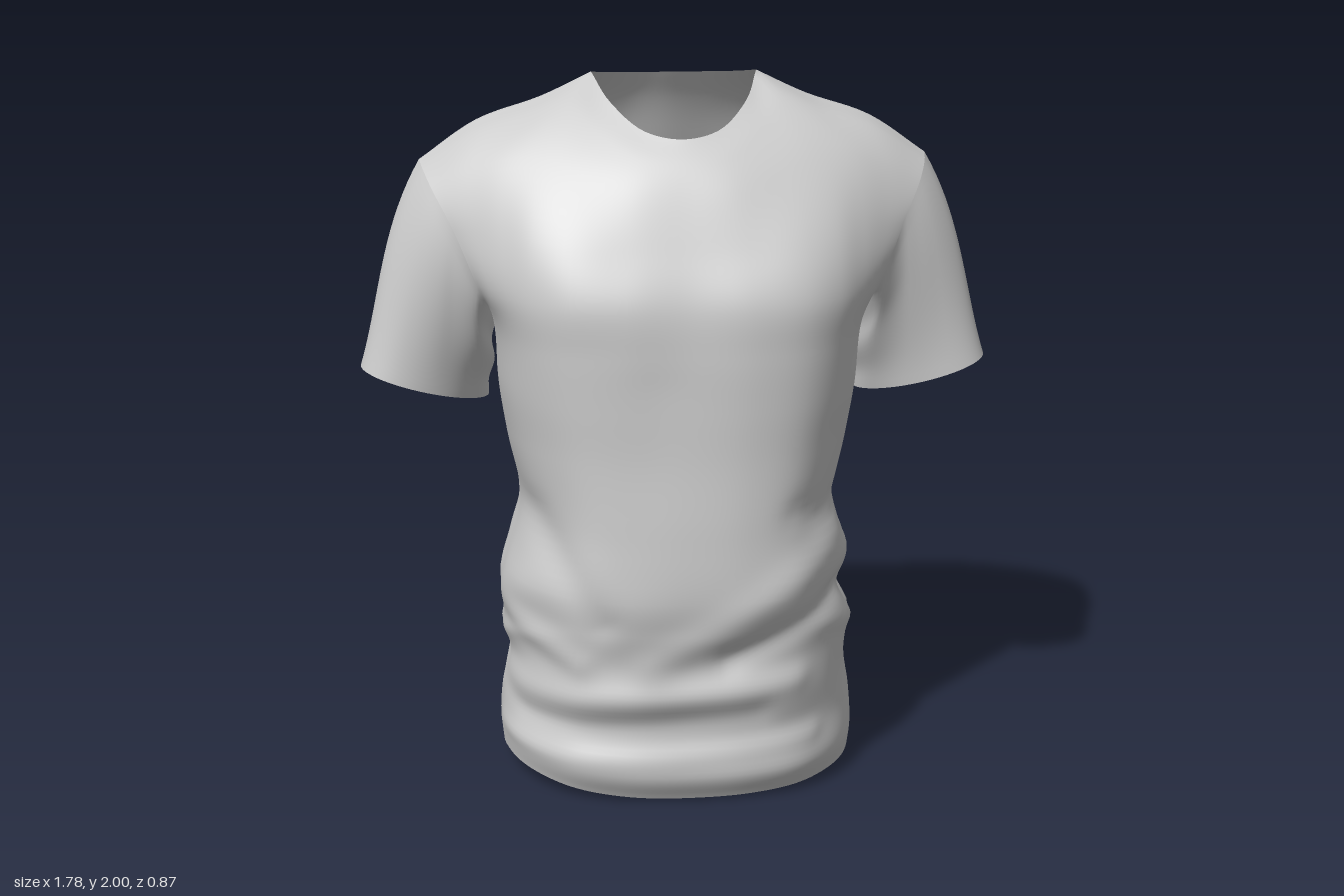
import * as THREE from 'three';
import { mergeVertices } from 'three/addons/utils/BufferGeometryUtils.js';

const V = (x, y, z) => new THREE.Vector3(x, y, z);
const COLS = 72, STEPS = 7; // samples across a panel, and between two control rows

// Outlines at armpit and waist: x, z from the centre line to the side
const front = {
  chest: [[0, .405], [.18, .405], [.33, .37], [.42, .305], [.48, .205], [.51, .08], [.51, -.08]],
  waist: [[0, .405], [.17, .395], [.31, .35], [.402, .27], [.467, .168], [.503, .04], [.51, -.08]],
};
const back = {
  chest: [[0, -.42], [.18, -.43], [.33, -.432], [.42, -.385], [.48, -.295], [.51, -.19], [.51, -.08]],
  waist: [[0, -.435], [.16, -.425], [.3, -.385], [.387, -.318], [.454, -.235], [.5, -.155], [.51, -.08]],
};

// Lower body: height, half width, front z, back z
const lower = [
  [0, .512, .35, -.375], [.08, .517, .388, -.36], [.2, .51, .37, -.335], [.32, .493, .4, -.335],
  [.42, .5, .39, -.312], [.52, .495, .415, -.355], [.62, .492, .435, -.39], [.8, .45, .43, -.415],
  [1, .485, .415, -.43], [1.15, .505, .41, -.435], [1.3, .51, .405, -.435],
];

// Upper rows from armpit to neck and shoulder line, centre to armhole
const shoulder = [[.23, 2, -.1], [.37, 1.935, -.1], [.55, 1.872, -.1], [.71, 1.765, -.09]];
front.upper = [
  [[0, 1.44, .39], [.17, 1.44, .395], [.32, 1.44, .37], [.415, 1.44, .316], [.48, 1.44, .25], [.525, 1.435, .188], [.55, 1.43, .135]],
  [[0, 1.58, .335], [.16, 1.58, .335], [.31, 1.59, .315], [.41, 1.6, .27], [.49, 1.6, .208], [.56, 1.6, .148], [.62, 1.6, .1]],
  [[0, 1.72, .27], [.14, 1.73, .26], [.28, 1.77, .2], [.38, 1.8, .14], [.48, 1.79, .1], [.58, 1.75, .065], [.675, 1.7, .03]],
  [[0, 1.79, .225], [.12, 1.805, .205], [.225, 1.86, .125], [.3, 1.925, .02], [.42, 1.89, 0], [.565, 1.838, -.02], [.7, 1.747, -.035]],
  [[0, 1.85, .17], [.1, 1.868, .14], [.185, 1.933, .04], ...shoulder],
];
back.upper = [
  [[0, 1.46, -.415], [.18, 1.46, -.426], [.33, 1.46, -.436], [.43, 1.46, -.418], [.508, 1.455, -.386], [.558, 1.45, -.343], [.575, 1.44, -.28]],
  [[0, 1.62, -.4], [.17, 1.62, -.412], [.32, 1.62, -.415], [.43, 1.62, -.4], [.525, 1.615, -.375], [.605, 1.61, -.345], [.66, 1.6, -.305]],
  [[0, 1.8, -.33], [.15, 1.8, -.345], [.29, 1.8, -.34], [.4, 1.79, -.32], [.5, 1.77, -.295], [.6, 1.74, -.265], [.695, 1.7, -.22]],
  [[0, 1.9, -.282], [.12, 1.9, -.29], [.23, 1.905, -.275], [.31, 1.925, -.21], [.43, 1.885, -.2], [.565, 1.835, -.185], [.705, 1.747, -.155]],
  [[0, 1.98, -.23], [.1, 1.98, -.23], [.185, 1.985, -.195], ...shoulder],
];

// Cloth folds: x0, y0, x1, y1, side (1 front, -1 back), width, height
const folds = [
  [-.1, .42, .42, .74, 1, .055, .013], [.12, .44, .46, .58, 1, .04, -.016],
  [-.48, .3, .3, .36, 1, .04, .009], [-.45, .22, .2, .27, 1, .04, -.009],
  [-.5, .11, .35, .17, 1, .035, .008], [.3, .85, .5, .8, 1, .04, -.008],
  [-.42, .82, -.25, .55, 1, .05, -.012], [-.5, .52, -.3, .42, 1, .04, .012],
  [-.1, 1.2, -.15, .7, 1, .1, -.006],
  [.48, .74, -.05, .52, -1, .055, .012], [.45, .6, -.1, .43, -1, .05, -.01],
  [-.5, .5, -.25, .44, -1, .045, -.008], [-.48, .72, -.2, .58, -1, .055, .008],
  [.2, 1.35, .16, .75, -1, .06, .007], [-.2, 1.35, -.16, .75, -1, .06, .007],
  [.34, 1.25, .3, .8, -1, .05, -.007], [-.34, 1.25, -.3, .8, -1, .05, -.007],
];

// Creases on the sides: side, height, width, depth
const sideCreases = [
  [1, .54, .045, -.03], [1, .44, .03, .014], [1, .67, .05, .012],
  [-1, .56, .07, .018], [-1, .36, .04, -.008], [-1, .43, .025, .008],
];

function addFolds(p) {
  let h = 0;
  for (const [x0, y0, x1, y1, side, width, height] of folds) {
    const dx = x1 - x0, dy = y1 - y0;
    const t = THREE.MathUtils.clamp(((p.x - x0) * dx + (p.y - y0) * dy) / (dx * dx + dy * dy), 0, 1);
    const d = Math.hypot(p.x - x0 - t * dx, p.y - y0 - t * dy) / width;
    h += height * Math.exp(-d * d) * THREE.MathUtils.smoothstep(side * (p.z + .03), -.05, .2);
  }
  const sideways = Math.min(1, (p.x / .5) ** 2);
  for (const [side, y, width, depth] of sideCreases) {
    // creases sag towards the middle of the side
    const sag = y + .25 * (Math.abs(p.z + .03) - .1);
    if (side * p.x > 0) h += depth * sideways ** 3 * Math.exp(-(((p.y - sag) / width) ** 2));
  }
  p.addScaledVector(V(p.x, 0, p.z + .03).normalize(), h);
  // hem lifted at the sides
  p.y += ((p.x < 0 ? .055 : .028) * sideways + .025 * Math.max(0, p.z)) * Math.max(0, 1 - p.y / .25);
  return p;
}

// Grid of points (rows of equal length) to a list of triangle corners
function gridTriangles(grid, flip, out = []) {
  for (let i = 0; i + 1 < grid.length; i++) {
    for (let j = 0; j + 1 < grid[i].length; j++) {
      const a = grid[i][j], b = grid[i][j + 1], c = grid[i + 1][j + 1], d = grid[i + 1][j];
      const tri = flip ? [a, c, b, a, d, c] : [a, b, c, a, c, d];
      for (const p of tri) out.push(p.x, p.y, p.z);
    }
  }
  return out;
}

function smoothMesh(name, triangles, material) {
  let g = new THREE.BufferGeometry();
  g.setAttribute('position', new THREE.Float32BufferAttribute(triangles, 3));
  g = mergeVertices(g, 1e-4);
  g.computeVertexNormals();
  const mesh = new THREE.Mesh(g, material);
  mesh.name = name;
  return mesh;
}

const spline = (points, n) => new THREE.CatmullRomCurve3(points).getPoints(n);

// Front or back panel: smooth surface through its control rows
function panel({ chest, waist, upper }) {
  const depth = Math.abs(chest[0][1] + .08);
  const rows = lower.map(([y, w, zf, zb]) => chest.map(([x, z], i) => {
    const t = THREE.MathUtils.smoothstep(y, .95, 1.48);
    const px = THREE.MathUtils.lerp(waist[i][0], x, t), pz = THREE.MathUtils.lerp(waist[i][1], z, t);
    const scale = chest[0][1] > 0 ? (zf + .08) / depth : (-.08 - zb) / (depth + .015);
    return [px * w / .51, y, -.08 + (pz + .08) * scale];
  }));
  const all = [...rows, ...upper];
  const sampled = all.map((row, i) => {
    const half = row.map((p) => V(...p));
    const full = [...half.slice(1).reverse().map((p) => V(-p.x, p.y, p.z)), ...half];
    if (i < all.length - 1) return spline(full, COLS);
    // top edge turns a corner where the shoulder meets the neck
    return [...spline(full.slice(0, 4), COLS / 4), ...spline(full.slice(3, 10), COLS / 2).slice(1),
      ...spline(full.slice(9), COLS / 4).slice(1)];
  });
  const columns = sampled[0].map((_, j) => spline(sampled.map((r) => r[j]), (all.length - 1) * STEPS));
  return columns[0].map((_, i) => columns.map((c) => c[i]));
}

// Sleeve: loft from the armhole loop to a tilted oval cuff
function sleeveGrid(armhole, side) {
  const grid = [], RINGS = 18, n = armhole.length - 1;
  for (let k = 0; k <= RINGS; k++) {
    const t = k / RINGS;
    grid.push(armhole.map((p, i) => {
      const a = 2 * Math.PI * i / n, c = -Math.cos(a), s = Math.sin(a);
      const cuff = V(.71 + .18 * c, 1.128 + .06 * c, -.118 + .06 * c + .155 * s);
      const q = p.clone().lerp(cuff, t);
      q.z = THREE.MathUtils.lerp(p.z, cuff.z, Math.pow(t, .85));
      const bulge = 6.75 * t * (1 - t) ** 2;
      q.x += .024 * bulge * Math.max(0, c);
      q.z += .024 * bulge * s * (1 - c * c);
      // soft crease under the arm
      q.x += .008 * Math.sin(t * 9) * Math.max(0, -c) * (1 - t) * t * 4;
      q.x *= side;
      return q;
    }));
  }
  return grid;
}

export function createModel() {
  const group = new THREE.Group();
  group.name = 'shirt';
  const cloth = new THREE.MeshStandardMaterial({ color: 0xcccccc, side: THREE.DoubleSide });
  const frontPanel = panel(front), backPanel = panel(back);

  // armhole loop: up the front edge, over the shoulder, down the back edge
  const start = (lower.length - 1) * STEPS;
  const up = frontPanel.slice(start).map((r) => r[COLS].clone());
  const down = backPanel.slice(start).map((r) => r[COLS].clone()).reverse();
  const armhole = [...up, ...down.slice(1)];

  // body, both panels joined at the sides and shoulders
  for (const grid of [frontPanel, backPanel]) grid.forEach((r) => r.forEach(addFolds));
  const body = gridTriangles(frontPanel, false);
  gridTriangles(backPanel, true, body);
  group.add(smoothMesh('body', body, cloth));

  // sleeves
  for (const side of [1, -1]) {
    const name = side > 0 ? 'leftSleeve' : 'rightSleeve';
    group.add(smoothMesh(name, gridTriangles(sleeveGrid(armhole, side), side > 0), cloth));
  }
  return group;
}
